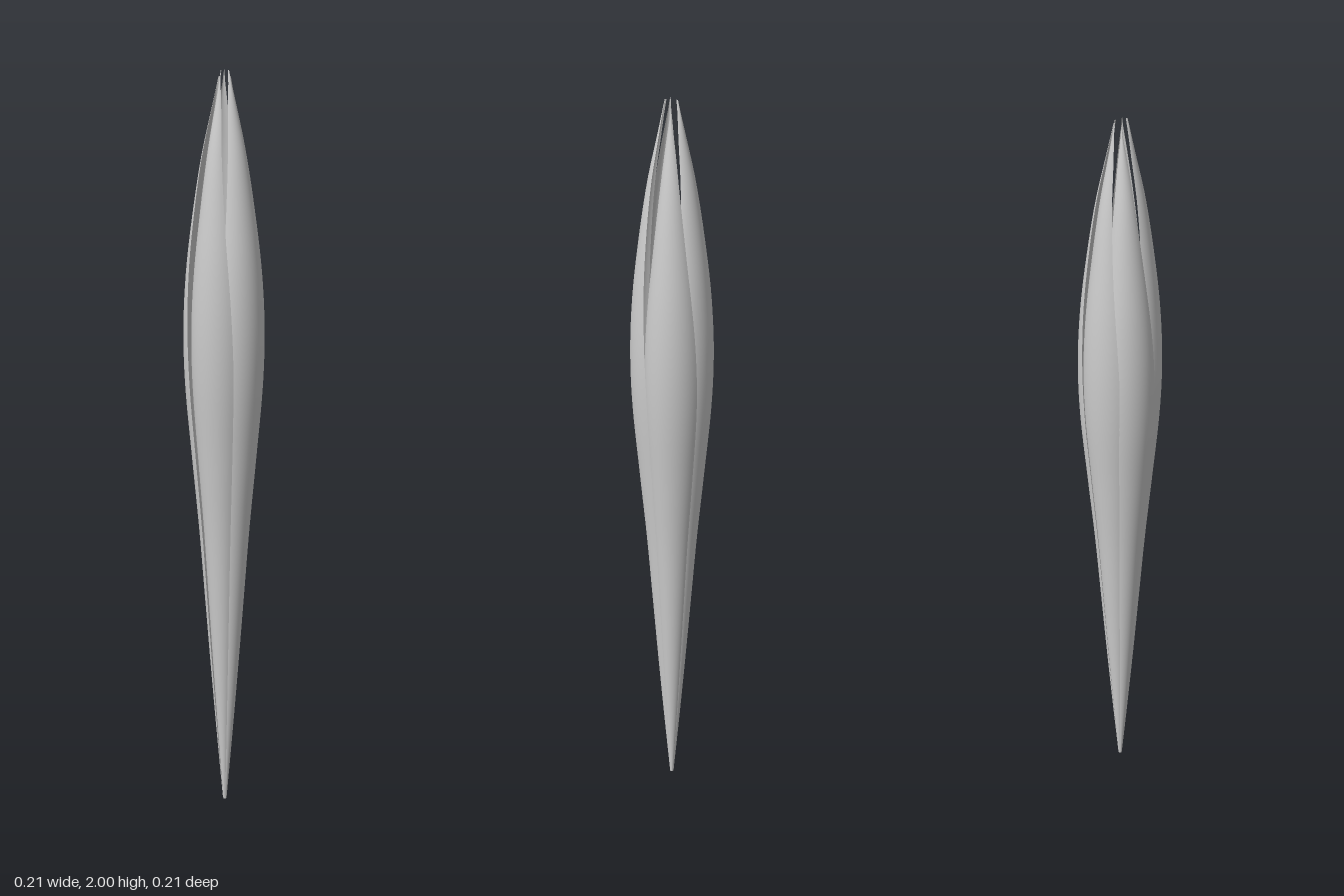
import * as THREE from 'three';

// Profiles along the bud as [height, value]
const RADIUS = [[0, 0.005], [0.2, 0.022], [0.4, 0.038], [0.6, 0.053], [0.8, 0.068], [1, 0.086],
  [1.2, 0.103], [1.35, 0.107], [1.5, 0.1], [1.65, 0.083], [1.8, 0.06], [1.92, 0.034], [2, 0.017]];
const HALF_ANGLE = [[0, 50], [0.6, 50], [1.2, 50], [1.4, 46], [1.6, 38], [1.8, 29], [1.92, 21], [2, 1]];

// Smooth height lookup through the profile points
function sample(profile, y) {
  let i = 0;
  while (i < profile.length - 2 && y > profile[i + 1][0]) i++;
  const slope = (k) => {
    const a = profile[Math.max(k - 1, 0)], b = profile[Math.min(k + 1, profile.length - 1)];
    return (b[1] - a[1]) / (b[0] - a[0]);
  };
  const [y0, v0] = profile[i], [y1, v1] = profile[i + 1];
  const h = y1 - y0, s = (y - y0) / h, s2 = s * s, s3 = s2 * s;
  return (2 * s3 - 3 * s2 + 1) * v0 + (s3 - 2 * s2 + s) * h * slope(i)
    + (3 * s2 - 2 * s3) * v1 + (s3 - s2) * h * slope(i + 1);
}

// A petal is a plane wrapped round the axis: one edge lies outside its neighbour, the other tucks in
function petalGeometry(height) {
  const geometry = new THREE.PlaneGeometry(2, 1, 20, 64);
  const pos = geometry.attributes.position;
  for (let i = 0; i < pos.count; i++) {
    const t = pos.getX(i);
    const y = (pos.getY(i) + 0.5) * 2;
    const angle = t * THREE.MathUtils.degToRad(sample(HALF_ANGLE, y));
    const r = sample(RADIUS, y) * (0.99 - 0.13 * t * t + 0.1 * t);
    pos.setXYZ(i, r * Math.sin(angle), y * height / 2, r * Math.cos(angle));
  }
  geometry.computeVertexNormals();
  return geometry;
}

export function createModel() {
  const bud = new THREE.Group();
  bud.name = 'flowerBud';
  const material = new THREE.MeshStandardMaterial({ color: 0xcccccc, side: THREE.DoubleSide });

  // Five overlapping petals, unevenly spaced round the stem axis
  [-101, -22, 45, 103, 183].forEach((degrees, i) => {
    const petal = new THREE.Mesh(petalGeometry(i % 2 ? 1.985 : 2), material);
    petal.name = `petal${i + 1}`;
    petal.rotation.y = THREE.MathUtils.degToRad(degrees + 90);
    bud.add(petal);
  });
  return bud;
}
